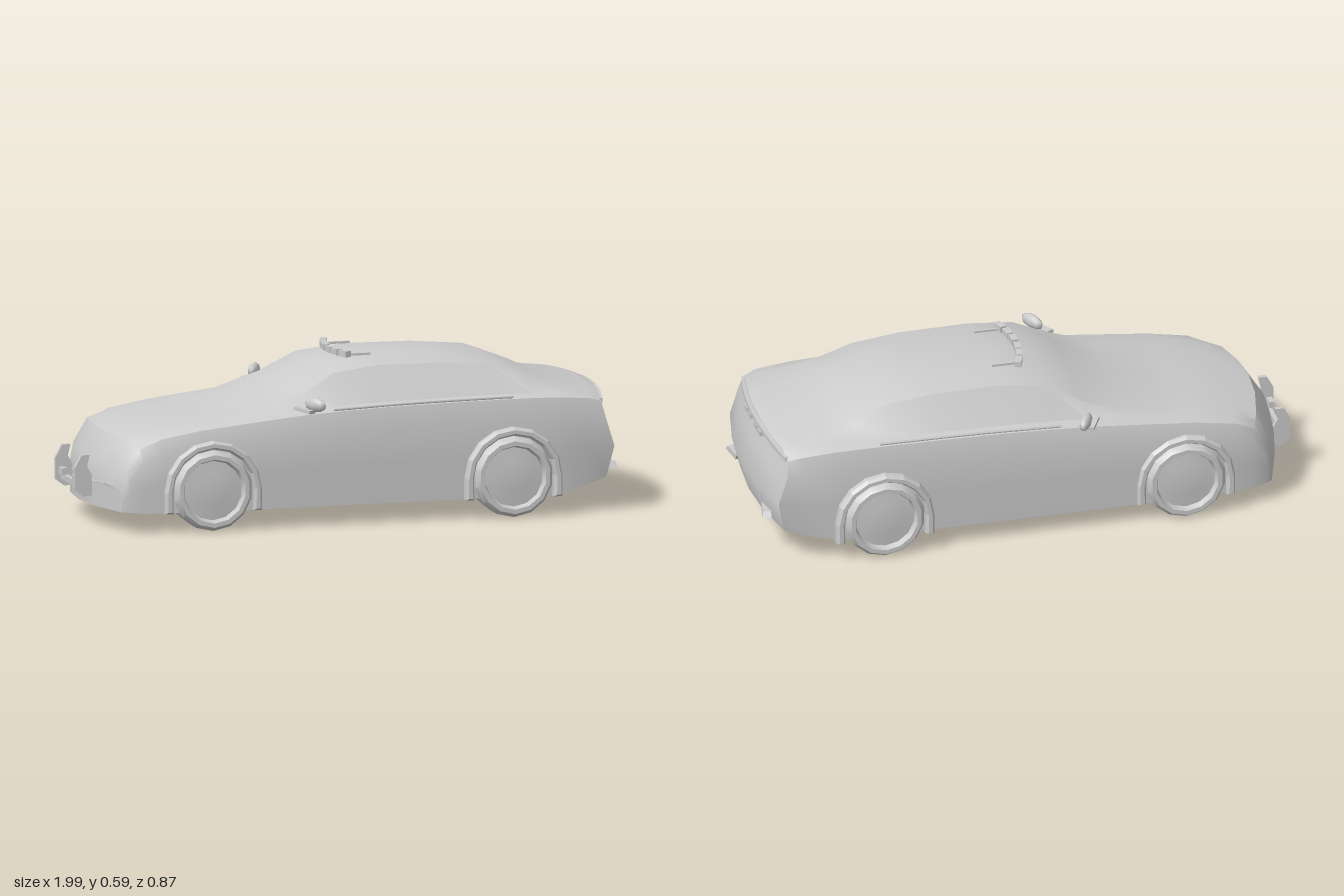
import * as THREE from 'three';
import { toCreasedNormals } from 'three/addons/utils/BufferGeometryUtils.js';

const material = new THREE.MeshStandardMaterial({ color: 0xcccccc });
const clamp = THREE.MathUtils.clamp;

function add(parent, name, geometry, x = 0, y = 0, z = 0) {
  const mesh = new THREE.Mesh(geometry, material);
  mesh.name = name;
  mesh.position.set(x, y, z);
  parent.add(mesh);
  return mesh;
}

// Stations along the car, nose to tail:
// x, floor y, floor z, side z, shoulder y, shoulder z, roof edge y, roof edge z, top y
const stations = [
  [-0.95, 0.075, 0.32, 0.325, 0.15, 0.315, 0.165, 0.25, 0.17],
  [-0.935, 0.075, 0.335, 0.34, 0.22, 0.325, 0.24, 0.25, 0.25],
  [-0.88, 0.07, 0.345, 0.35, 0.3, 0.33, 0.325, 0.25, 0.335],
  [-0.78, 0.07, 0.36, 0.36, 0.335, 0.34, 0.355, 0.25, 0.362],
  [-0.6, 0.07, 0.365, 0.365, 0.36, 0.345, 0.38, 0.25, 0.39],
  [-0.36, 0.07, 0.37, 0.37, 0.385, 0.35, 0.408, 0.27, 0.42],
  [-0.2, 0.07, 0.37, 0.372, 0.4, 0.352, 0.46, 0.27, 0.497],
  [-0.07, 0.07, 0.37, 0.372, 0.408, 0.355, 0.53, 0.245, 0.558],
  [0.1, 0.07, 0.37, 0.372, 0.415, 0.355, 0.55, 0.24, 0.575],
  [0.35, 0.07, 0.37, 0.372, 0.42, 0.355, 0.547, 0.24, 0.572],
  [0.52, 0.07, 0.37, 0.372, 0.422, 0.355, 0.528, 0.24, 0.558],
  [0.65, 0.07, 0.37, 0.372, 0.422, 0.355, 0.48, 0.25, 0.508],
  [0.75, 0.07, 0.37, 0.37, 0.42, 0.352, 0.446, 0.27, 0.46],
  [0.9, 0.1, 0.35, 0.362, 0.41, 0.345, 0.43, 0.27, 0.442],
  [0.935, 0.12, 0.335, 0.355, 0.395, 0.33, 0.418, 0.27, 0.43],
];

// Half section from floor centre to roof centre, as [y, z]
function halfSection([, yb, zb, zm, ys, zs, ye, ze, yt]) {
  const at = t => yb + (ys - yb) * t;
  return [[yb, 0], [yb, zb / 2], [yb, zb], [at(0.42), zm], [at(0.8), zm], [ys, zs],
    [ys + 0.012, zs - 0.04], [ye, ze], [ye + (yt - ye) * 0.75, ze / 2], [yt, 0]];
}

// Rounds nose and tail in plan, and bulges the tail face
function place(x, y, z, tail) {
  const w = THREE.MathUtils.smoothstep(Math.abs(x), 0.6, 0.95);
  let px = x - Math.sign(x) * (x < 0 ? 0.65 : 0.4) * z * z * w;
  if (tail) px += y < 0.235 ? 0.03 + 0.03 * clamp((y - 0.12) / 0.115, 0, 1) : 0.06 * clamp((0.43 - y) / 0.195, 0, 1);
  return [px, y, z];
}

function bodyGeometry() {
  const pos = [], index = [], last = stations.length - 1;
  const quad = (a, b, c, d) => index.push(a, b, d, b, c, d);
  let n = 0;
  stations.forEach((s, i) => {
    const half = halfSection(s);
    const ring = [...half, ...half.slice(1, -1).reverse().map(([y, z]) => [y, -z])];
    n = ring.length;
    ring.forEach(([y, z]) => pos.push(...place(s[0], y, z, i === last)));
  });
  for (let i = 0; i < last; i++) for (let j = 0; j < n; j++) {
    const k = (j + 1) % n;
    quad(i * n + j, (i + 1) * n + j, (i + 1) * n + k, i * n + k);
  }
  // Nose and tail faces, as rows running across the car
  for (const i of [0, last]) {
    const start = pos.length / 3, rows = halfSection(stations[i]).slice(2);
    for (const [y, z] of rows) for (let c = -2; c <= 2; c++) {
      pos.push(...place(stations[i][0], y, z * c / 2, i === last));
    }
    for (let r = 0; r < rows.length - 1; r++) for (let c = 0; c < 4; c++) {
      const a = start + r * 5 + c, b = a + 1, d = a + 5, e = a + 6;
      if (i === 0) quad(a, b, e, d);
      else quad(b, a, d, e);
    }
  }
  const g = new THREE.BufferGeometry();
  g.setAttribute('position', new THREE.Float32BufferAttribute(pos, 3));
  g.setIndex(index);
  return toCreasedNormals(g, 0.6);
}

function wheelGeometry() {
  const profile = [[0, -0.12], [0.125, -0.12], [0.146, -0.105], [0.146, -0.02], [0.132, 0],
    [0.116, 0], [0.108, -0.022], [0.06, -0.018], [0, -0.012]];
  const g = new THREE.LatheGeometry(profile.map(p => new THREE.Vector2(...p)), 14);
  return toCreasedNormals(g.rotateX(Math.PI / 2), 0.6);
}

// Faceted arch with straight legs down to the sill
function archGeometry() {
  const arc = (r, k) => [r * Math.cos(Math.PI * k / 8), r * Math.sin(Math.PI * k / 8)];
  const pts = [[0.18, -0.078]];
  for (let k = 0; k <= 8; k++) pts.push(arc(0.18, k));
  pts.push([-0.18, -0.078], [-0.148, -0.078]);
  for (let k = 8; k >= 0; k--) pts.push(arc(0.15, k));
  pts.push([0.148, -0.078]);
  return new THREE.ExtrudeGeometry(new THREE.Shape(pts.map(p => new THREE.Vector2(...p))), {
    depth: 0.08, bevelSize: 0.008, bevelOffset: -0.008, bevelThickness: 0.014, bevelSegments: 1,
  }).translate(0, 0, -0.094);
}

function plate(points, depth) {
  const shape = new THREE.Shape(points.map(p => new THREE.Vector2(...p)));
  return new THREE.ExtrudeGeometry(shape, { depth, bevelEnabled: false }).translate(0, 0, -depth / 2);
}

export function createModel() {
  const car = new THREE.Group();
  car.name = 'car';
  add(car, 'body', bodyGeometry());

  // Wheels and arches
  const wheel = wheelGeometry(), arch = archGeometry();
  for (const [x, z, end] of [[-0.555, 0.39, 'front'], [0.56, 0.41, 'rear']]) {
    for (const s of [1, -1]) {
      const w = add(car, end + 'Wheel', wheel, x, 0.146, s * z);
      const a = add(car, end + 'WheelArch', arch, x, 0.146, s * (z - 0.004));
      if (s < 0) w.rotation.y = a.rotation.y = Math.PI;
    }
  }

  for (const s of [1, -1]) {
    // Door mirrors: a stalk and a faceted head
    const mirror = new THREE.Group();
    mirror.name = 'doorMirror';
    mirror.position.set(-0.18, 0.443, s * 0.39);
    mirror.rotation.y = s * 0.5;
    car.add(mirror);
    const head = add(mirror, 'mirrorHead', new THREE.SphereGeometry(1, 8, 6));
    head.scale.set(0.02, 0.026, 0.054);
    const stalk = add(mirror, 'mirrorStalk', new THREE.BoxGeometry(0.03, 0.012, 0.08), -0.015, -0.022, -s * 0.04);
    stalk.rotation.x = s * 0.1;

    // Belt moulding below the side windows
    const belt = new THREE.CatmullRomCurve3([[-0.1, 0.414, 0.348], [0.2, 0.424, 0.347], [0.57, 0.429, 0.347]]
      .map(([x, y, z]) => new THREE.Vector3(x, y, s * z)));
    add(car, 'beltMoulding', new THREE.TubeGeometry(belt, 10, 0.005, 5));

    // Rear bumper lamps
    const lamp = plate([[-0.046, 0.009], [0.03, 0.011], [0.046, -0.008], [-0.036, -0.012]], 0.03);
    const rear = add(car, 'rearBumperLamp', lamp, 0.958, 0.151, s * 0.228);
    rear.rotation.y = Math.PI / 2 + s * 0.18;
    if (s > 0) rear.scale.x = -1;

    // Roof light bar feet
    add(car, 'lightBarFoot', new THREE.BoxGeometry(0.1, 0.008, 0.008), 0.05, 0.573, s * 0.13);

    // Push bar uprights and lamps
    add(car, 'pushBarUpright', plate([[-1, 0.13], [-1, 0.21], [-0.975, 0.255], [-0.945, 0.255],
      [-0.955, 0.215], [-0.93, 0.17], [-0.93, 0.11], [-0.965, 0.105]], 0.016), 0, 0, s * 0.122);
    add(car, 'pushBarLamp', new THREE.BoxGeometry(0.02, 0.024, 0.04), -0.982, 0.165, s * 0.085);
  }
  add(car, 'pushBarCrossbar', new THREE.BoxGeometry(0.016, 0.02, 0.25), -0.975, 0.143, 0);

  // Roof light bar, six lamps along a shallow arc
  for (const z of [-0.135, -0.082, -0.03, 0.03, 0.082, 0.135]) {
    const lamp = add(car, 'roofLamp', new THREE.BoxGeometry(0.024, 0.022, 0.046), -0.02 + 1.3 * z * z, 0.579, z);
    lamp.rotation.y = Math.atan(2.6 * z);
  }

  // Boot lip over the tail panel, with four small lamps beneath
  const lip = new THREE.BoxGeometry(0.035, 0.016, 0.63, 1, 1, 12);
  const p = lip.attributes.position;
  for (let i = 0; i < p.count; i++) {
    const z = p.getZ(i);
    p.setXYZ(i, p.getX(i) - 0.4 * z * z, p.getY(i) - 0.2 * z * z, z);
  }
  lip.computeVertexNormals();
  add(car, 'bootLip', lip, 0.934, 0.415, 0);
  for (const z of [-0.093, -0.042, 0.042, 0.093]) {
    add(car, 'bootLamp', new THREE.BoxGeometry(0.02, 0.018, 0.036), 0.943, 0.398, z);
  }
  return car;
}
